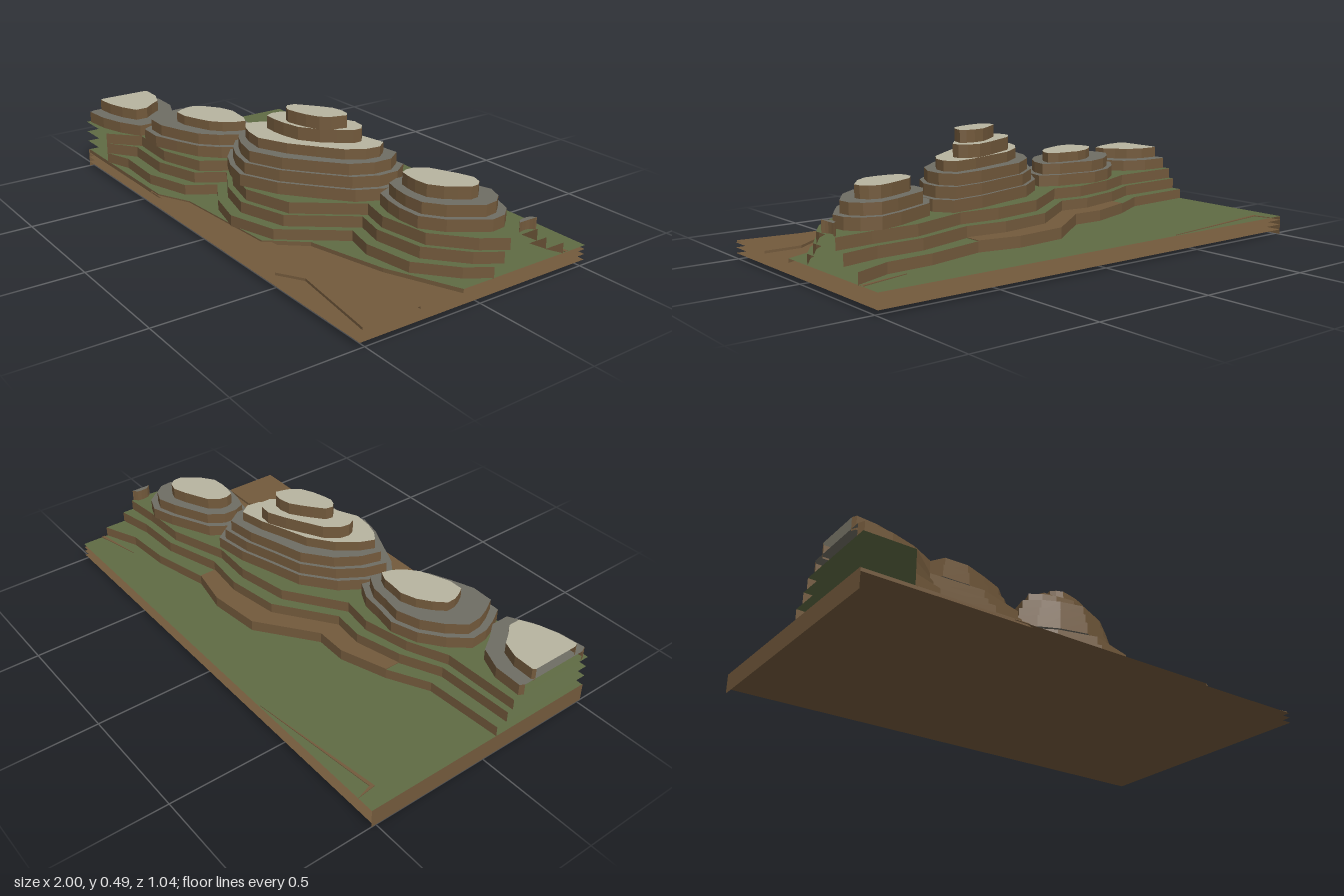
import * as THREE from 'three';

const W = 1, D = 0.52;   // half extents of the plot
const STEP = 0.045;      // height of one terrace
const clampX = (x) => THREE.MathUtils.clamp(x, -W, W);
const clampZ = (z) => THREE.MathUtils.clamp(z, -D, D);

// Tilted, slightly wavy oval outline, cut off at the plot edge
function blob(cx, cz, a, b, tilt, seed) {
  const n = 15;
  return Array.from({ length: n }, (_, i) => {
    const t = (i / n) * Math.PI * 2;
    const r = 1.02 + 0.06 * Math.sin(3 * t + seed) + 0.05 * Math.sin(5 * t + 2 * seed);
    const u = a * r * Math.cos(t), v = b * r * Math.sin(t);
    return [clampX(cx + u * Math.cos(tilt) + v * Math.sin(tilt)),
      clampZ(cz - u * Math.sin(tilt) + v * Math.cos(tilt))];
  });
}

// Back and front lines of the ridge; lower terraces push them outward,
// most behind the main hill and at the right-hand edge
const ridgeBack = [[-1, 0.13], [-0.68, 0.12], [-0.52, 0.05], [-0.33, 0.01], [-0.2, 0.03], [0.03, -0.13],
  [0.25, -0.17], [0.42, -0.16], [0.66, -0.24], [0.85, -0.245], [1, -0.26]];
const ridgeFront = [[1, -0.13], [0.94, -0.04], [0.8, 0.08], [0.6, 0.11], [0.48, 0.08], [0.3, 0.31],
  [0.1, 0.37], [-0.06, 0.33], [-0.2, 0.25], [-0.27, 0.36], [-0.46, 0.42], [-0.68, 0.41], [-0.8, 0.52], [-1, 0.52]];
const backLine = (off) => ridgeBack.map(([x, z]) =>
  [x, z - off * (0.7 + 0.8 * Math.exp(-4 * x * x) + 0.7 * Math.max(0, x) ** 8)]);
const frontLine = (off) => ridgeFront.map(([x, z]) => [x, clampZ(z + 0.7 * off)]);

export function createModel() {
  const model = new THREE.Group();
  model.name = 'terracedHills';
  const mat = (name, color) => {
    const m = new THREE.MeshStandardMaterial({ color, side: THREE.DoubleSide });
    m.name = name;
    return m;
  };
  const soil = mat('soilBrown', 0x735a3c);
  const grass = mat('grassGreen', 0x5f6b44);
  const rock = mat('rockGrey', 0x6f6d64);
  const stone = mat('paleStone', 0xb8b4a0);

  const onEdge = (a, b) =>
    (Math.abs(a[0]) === W && a[0] === b[0]) || (Math.abs(a[1]) === D && a[1] === b[1]);

  // One terrace: a flat sheet at height y with a soil wall below it,
  // left open where the sheet meets the plot edge
  function terrace(name, y, drop, top, pts) {
    const shape = new THREE.Shape(pts.map(([x, z]) => new THREE.Vector2(x, -z)));
    const sheet = new THREE.Mesh(new THREE.ShapeGeometry(shape).rotateX(-Math.PI / 2), top);
    sheet.position.y = y;
    sheet.name = name + 'Top';
    model.add(sheet);
    if (!drop) return;
    const ccw = !THREE.ShapeUtils.isClockWise(shape.getPoints());
    const pos = [];
    pts.forEach((p, i) => {
      const q = pts[(i + 1) % pts.length];
      if (onEdge(p, q)) return;
      const [a, b] = ccw ? [p, q] : [q, p];
      const A = [a[0], y - drop, a[1]], B = [b[0], y - drop, b[1]];
      const C = [b[0], y, b[1]], E = [a[0], y, a[1]];
      pos.push(...A, ...B, ...C, ...A, ...C, ...E);
    });
    const g = new THREE.BufferGeometry();
    g.setAttribute('position', new THREE.Float32BufferAttribute(pos, 3));
    g.computeVertexNormals();
    const wall = new THREE.Mesh(g, soil);
    wall.name = name + 'Wall';
    model.add(wall);
  }

  // Base sheets and the one closed end
  const plot = [[-W, -D], [W, -D], [W, D], [-W, D]];
  [0.02, 0.042, 0.062].forEach((y, i) => terrace('base' + i, y, 0, soil, plot));
  const end = new THREE.Mesh(new THREE.PlaneGeometry(2 * D, 0.078).rotateY(-Math.PI / 2), soil);
  end.position.set(-W, 0.039, 0);
  end.name = 'endWall';
  model.add(end);

  // Plain: grass behind and to the left, soil shelf at the front
  terrace('plain', 0.078, 0.016, grass, [[-W, -D], [W, -D], [W, 0.08], [0.72, 0.2], [0.4, 0.28],
    [0.28, 0.42], [-0.2, 0.45], [-0.34, 0.516], [-W, 0.516]]);
  terrace('frontShelf', 0.072, 0.01, soil, [[W, 0.27], [0.85, 0.27], [0.7, 0.38], [0.5, 0.37],
    [-0.34, 0.46], [-0.4, D], [0.52, D], [0.62, 0.46], [W, 0.51]]);

  // Bare soil strips on the plain
  terrace('backStrip', 0.081, 0.003, soil, [[-0.93, -D], [-0.92, -0.44], [-0.36, -0.515], [-0.91, -0.455]]);
  terrace('cornerStrip', 0.081, 0.003, soil, [[W, -0.43], [0.8, -0.38], [W, -0.415]]);

  // Shared ridge in three terraces
  [0.1, 0.035, 0].forEach((off, i) =>
    terrace('ridge' + i, 0.12 + i * STEP, STEP, grass, [...backLine(off), ...frontLine(off)]));
  // Bare soil band on the lowest terrace, behind the middle of the ridge
  terrace('ridgeBand', 0.123, 0.003, soil,
    [...backLine(0.1).slice(2, 8), ...backLine(0.03).slice(2, 8).reverse()]);

  // Separate hills: grey shoulders, then pale summits.
  // Ovals: centre x, centre z, half length, half width
  const hills = [
    { name: 'edgeHill', tilt: 0, foot: [-0.96, 0.335, 0.27, 0.17], shoulders: [1],
      summits: [[0.303, -0.97, 0.335, 0.2, 0.115]] },
    { name: 'westHill', tilt: 0.4, foot: [-0.455, 0.225, 0.265, 0.165], shoulders: [1, 0.88],
      summits: [[0.342, -0.42, 0.21, 0.155, 0.085]] },
    { name: 'mainHill', tilt: 0.5, foot: [0.15, 0.105, 0.375, 0.19], shoulders: [1, 0.93, 0.86],
      summits: [[0.388, 0.145, 0.11, 0.285, 0.115], [0.44, 0.145, 0.085, 0.195, 0.08],
        [0.49, 0.17, 0.093, 0.125, 0.058]] },
    { name: 'eastHill', tilt: 0.45, foot: [0.71, -0.075, 0.23, 0.14], shoulders: [1, 0.86],
      summits: [[0.35, 0.7, -0.07, 0.14, 0.075]] },
    { name: 'edgeKnoll', tilt: 0, foot: [W, -0.21, 0.02, 0.04], shoulders: [1], summits: [] },
  ];
  hills.forEach(({ name, tilt, foot: [x, z, a, b], shoulders, summits }, h) => {
    shoulders.forEach((k, i) =>
      terrace(name + 'Shoulder' + i, 0.257 + i * STEP, 0.047, rock, blob(x, z, a * k, b * k, tilt, h)));
    summits.forEach(([y, ...oval], i) =>
      terrace(name + 'Summit' + i, y, 0.053, stone, blob(...oval, tilt, h + i)));
  });
  return model;
}
